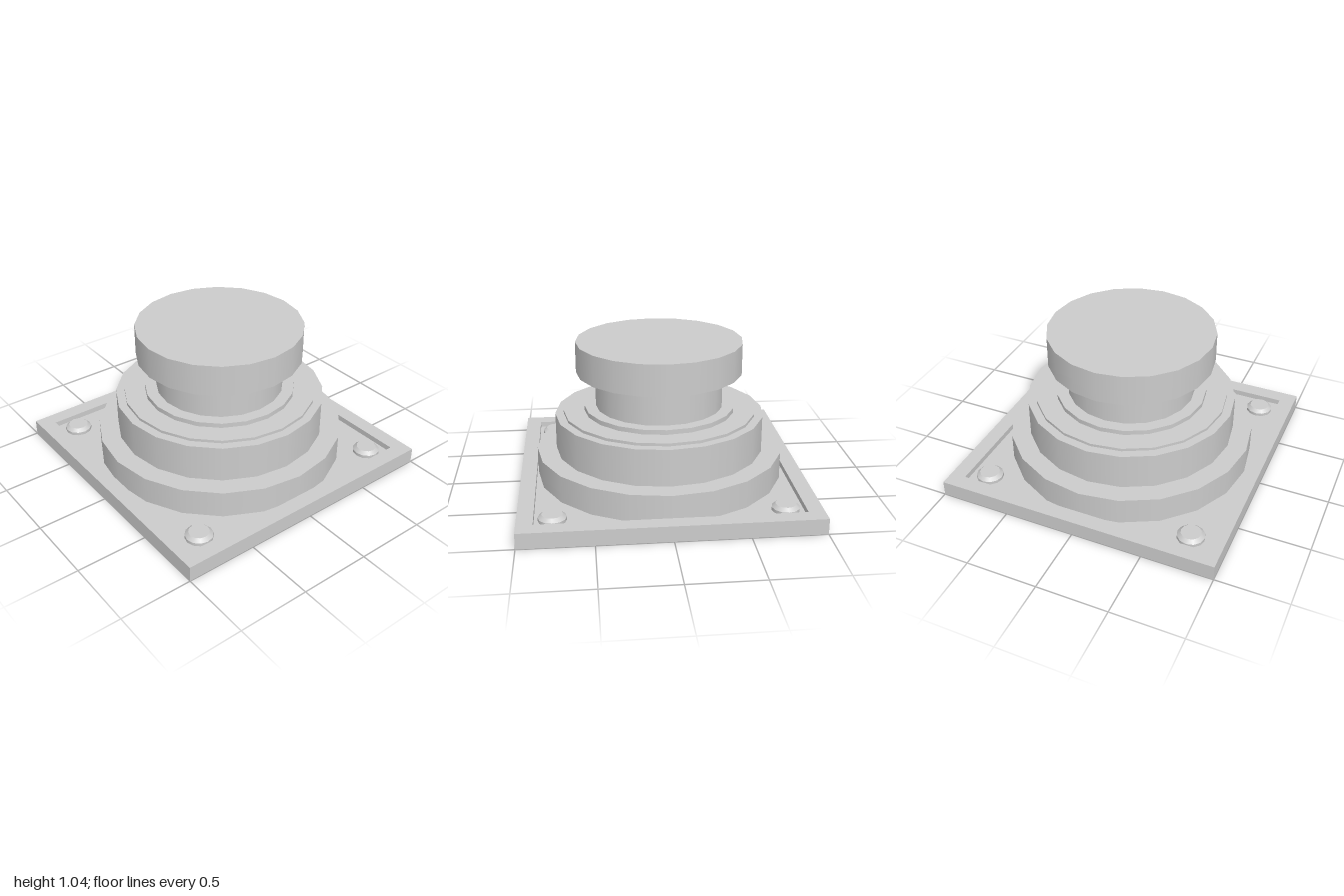
import * as THREE from 'three';

const SIDES = 20;
const smooth = new THREE.MeshStandardMaterial({ color: 0xcccccc });
const thin = new THREE.MeshStandardMaterial({ color: 0xcccccc, side: THREE.DoubleSide });
const thinFlat = new THREE.MeshStandardMaterial({ color: 0xcccccc, side: THREE.DoubleSide, flatShading: true });

function add(parent, name, geometry, material) {
  const mesh = new THREE.Mesh(geometry, material);
  mesh.name = name;
  parent.add(mesh);
  return mesh;
}

// Round tier standing between two heights
function tier(parent, name, radius, y0, y1) {
  const g = new THREE.CylinderGeometry(radius, radius, y1 - y0, SIDES);
  return add(parent, name, g.translate(0, (y0 + y1) / 2, 0), smooth);
}

// Four upright walls around a square of the given half width
function squareWalls(half, y0, y1) {
  const r = half * Math.SQRT2;
  const g = new THREE.CylinderGeometry(r, r, y1 - y0, 4, 1, true);
  return g.rotateY(Math.PI / 4).translate(0, (y0 + y1) / 2, 0);
}

function squarePath(path, h) {
  path.moveTo(-h, -h).lineTo(h, -h).lineTo(h, h).lineTo(-h, h).closePath();
  return path;
}

export function createModel() {
  const model = new THREE.Group();
  model.name = 'pushButton';

  // Hollow mounting plate: outer walls, flat rim, recessed floor
  const rimY = 0.11, floorY = 0.07, outer = 1, inner = 0.89;
  const plate = new THREE.Group();
  plate.name = 'mountingPlate';
  model.add(plate);
  add(plate, 'plateWalls', squareWalls(outer, 0, rimY), thinFlat);
  add(plate, 'recessWalls', squareWalls(inner, floorY, rimY), thinFlat);
  const rim = squarePath(new THREE.Shape(), outer);
  rim.holes.push(squarePath(new THREE.Path(), inner));
  add(plate, 'plateRim', new THREE.ShapeGeometry(rim).rotateX(-Math.PI / 2).translate(0, rimY, 0), thinFlat);
  add(plate, 'recessFloor',
    new THREE.PlaneGeometry(2 * inner, 2 * inner).rotateX(-Math.PI / 2).translate(0, floorY, 0), thinFlat);

  // Base collar: its open wall pokes out below the floor
  const y0 = 0.035, y1 = 0.263, collarR = 0.88;
  add(model, 'collarWall',
    new THREE.CylinderGeometry(collarR, collarR, y1 - y0, SIDES, 1, true).translate(0, (y0 + y1) / 2, 0), thin);
  add(model, 'collarTop',
    new THREE.CircleGeometry(collarR, SIDES).rotateX(-Math.PI / 2).translate(0, y1, 0), smooth);

  // Stacked housing, stem and button head
  tier(model, 'housing', 0.743, y1, 0.522);
  tier(model, 'housingLip', 0.683, 0.522, 0.542);
  tier(model, 'stemRing', 0.535, 0.542, 0.575);
  tier(model, 'stem', 0.453, 0.575, 0.825);
  tier(model, 'buttonHead', 0.587, 0.825, 1.045);

  // Corner bolts with bevelled heads
  for (const sx of [-1, 1]) {
    for (const sz of [-1, 1]) {
      const bolt = new THREE.Group();
      bolt.name = 'cornerBolt';
      bolt.position.set(sx * 0.76, floorY, sz * 0.77);
      add(bolt, 'boltShank', new THREE.CylinderGeometry(0.095, 0.095, 0.022, 12, 1, true).translate(0, 0.011, 0), smooth);
      add(bolt, 'boltBevel', new THREE.CylinderGeometry(0.07, 0.095, 0.023, 12).translate(0, 0.0335, 0), smooth);
      model.add(bolt);
    }
  }
  return model;
}
